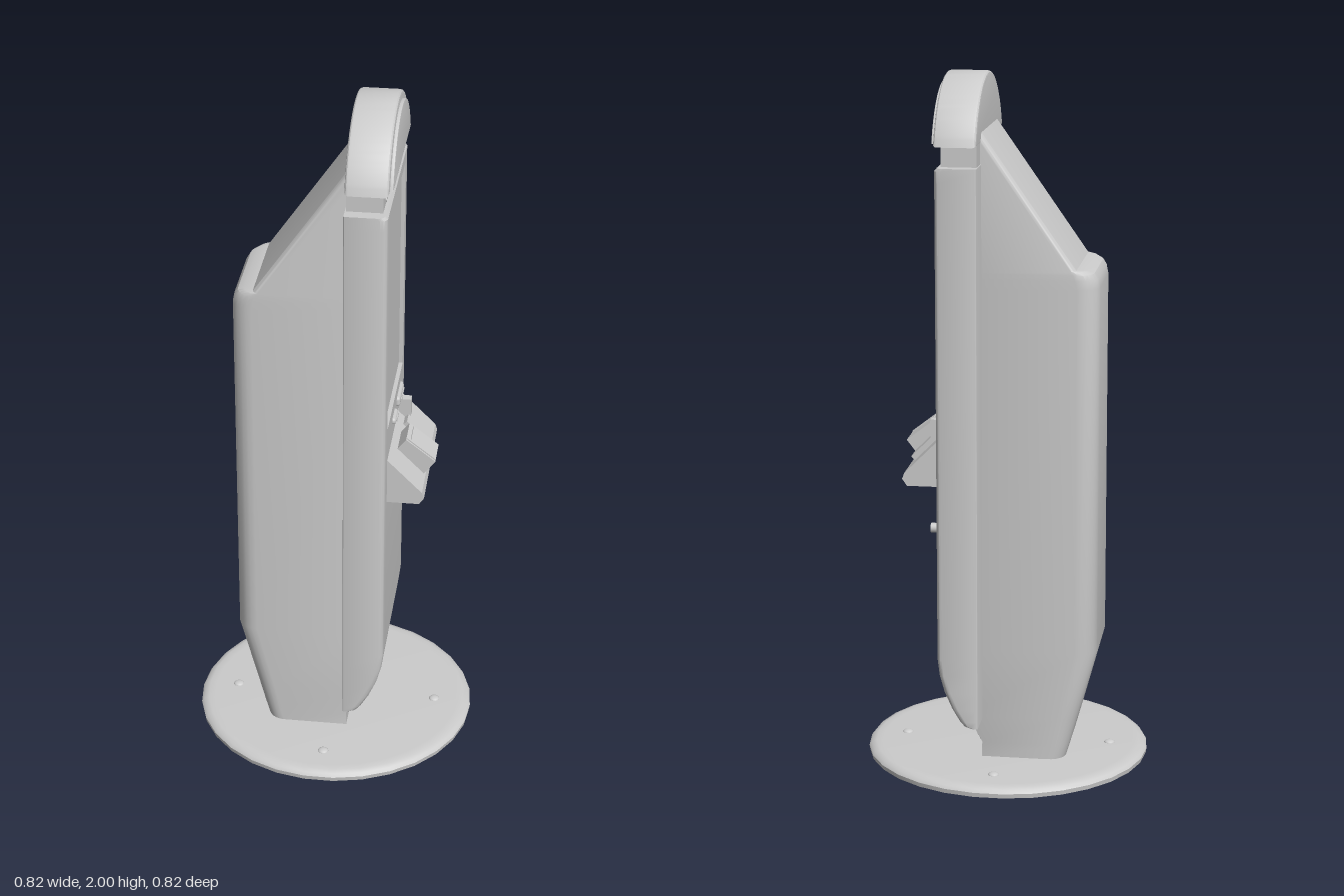
import * as THREE from 'three';
import { toCreasedNormals } from 'three/addons/utils/BufferGeometryUtils.js';
import { RoundedBoxGeometry } from 'three/addons/geometries/RoundedBoxGeometry.js';

const material = new THREE.MeshStandardMaterial({ color: 0xcccccc });

// Horizontal outline: back corners rounded by rb, front by rf, optional notch in the front face
function section({ xb, xf, w, rb, rf, notch }) {
  const pts = [];
  const corner = (cx, cz, r, start) => {
    for (let i = 0; i <= 6; i++) {
      const a = start + (i / 6) * Math.PI / 2;
      pts.push(new THREE.Vector2(cx + r * Math.cos(a), cz + r * Math.sin(a)));
    }
  };
  corner(xb + rb, -w + rb, rb, Math.PI);
  corner(xf - rf, -w + rf, rf, -Math.PI / 2);
  if (notch !== undefined) {
    for (const [x, z] of [[xf, -0.2], [xf - notch, -0.2], [xf - notch, 0.2], [xf, 0.2]]) {
      pts.push(new THREE.Vector2(x, z));
    }
  }
  corner(xf - rf, w - rf, rf, 0);
  corner(xb + rb, w - rb, rb, Math.PI / 2);
  return pts;
}

// Skin a stack of outlines from bottom to top and cap both ends
function loft(rows) {
  const loops = rows.map(section);
  const n = loops[0].length;
  const pos = [], idx = [];
  loops.forEach((loop, i) => loop.forEach(p => pos.push(p.x, rows[i].y, p.y)));
  for (let i = 0; i < rows.length - 1; i++) {
    for (let j = 0; j < n; j++) {
      const a = i * n + j, b = i * n + (j + 1) % n;
      idx.push(a, a + n, b, b, a + n, b + n);
    }
  }
  for (const [row, up] of [[0, false], [rows.length - 1, true]]) {
    const l = loops[row];
    for (const [a, b, c] of THREE.ShapeUtils.triangulateShape(l, [])) {
      const down = THREE.ShapeUtils.area([l[a], l[b], l[c]]) > 0;
      const t = down === up ? [a, c, b] : [a, b, c];
      idx.push(...t.map(k => k + row * n));
    }
  }
  const g = new THREE.BufferGeometry();
  g.setAttribute('position', new THREE.Float32BufferAttribute(pos, 3));
  g.setIndex(idx);
  return toCreasedNormals(g, 0.5);
}

// Flat-bottomed arch facing +x
function arch(halfWidth, y0, y1, x0, x1, bevel) {
  const hw = halfWidth - bevel, h = y1 - y0 - 2 * bevel;
  const r = (hw * hw + h * h) / (2 * h);
  const cy = y1 - bevel - r;
  const a = Math.atan2(y0 + bevel - cy, hw);
  const shape = new THREE.Shape();
  shape.absarc(0, cy, r, a, Math.PI - a, false);
  shape.closePath();
  const g = new THREE.ExtrudeGeometry(shape, {
    depth: x1 - x0 - 2 * bevel, curveSegments: 32, bevelEnabled: bevel > 0,
    bevelSize: bevel, bevelThickness: bevel, bevelSegments: 3,
  });
  g.translate(0, 0, x0 + bevel);
  g.rotateY(Math.PI / 2);
  return toCreasedNormals(g, 0.5);
}

export function createModel() {
  const model = new THREE.Group();
  const add = (name, geometry, x = 0, y = 0, z = 0, tilt = 0) => {
    const m = new THREE.Mesh(geometry, material);
    m.name = name;
    m.position.set(x, y, z);
    m.rotation.z = tilt;
    model.add(m);
    return m;
  };
  const box = (w, h, d) => new THREE.BoxGeometry(w, h, d);
  const knob = (r, len) => new THREE.CylinderGeometry(r, r, len, 16);

  // Round floor plate with softened rim
  const rim = [[0, 0], [0.41, 0], [0.412, 0.013], [0.405, 0.022], [0.39, 0.027], [0.37, 0.028], [0, 0.028]];
  const plate = new THREE.LatheGeometry(rim.map(p => new THREE.Vector2(...p)), 30);
  plate.rotateY(Math.PI / 2);
  add('basePlate', toCreasedNormals(plate, 0.6));

  // Four floor bolts
  for (let i = 0; i < 4; i++) {
    const a = i * Math.PI / 2;
    const head = new THREE.SphereGeometry(0.016, 16, 6, 0, Math.PI * 2, 0, Math.PI / 2);
    head.scale(1, 0.5, 1);
    add('baseBolt', head, 0.302 * Math.cos(a), 0.027, 0.302 * Math.sin(a));
  }

  // Rear cabinet: tapered foot, straight back, sloped top
  add('rearCabinet', loft([
    [0.02, -0.185, 0.052, 0.05], [0.07, -0.199, 0.052, 0.05], [0.15, -0.221, 0.095, 0.055],
    [0.35, -0.275, 0.095, 0.06], [1.415, -0.275, 0.095, 0.06], [1.44, -0.27, 0.095, 0.06],
    [1.456, -0.259, 0.095, 0.055], [1.465, -0.24, 0.095, 0.045], [1.468, -0.212, 0.095, 0.02],
    [1.85, 0.055, 0.095, 0.02],
  ].map(([y, xb, xf, rb]) => ({ y, xb, xf, w: 0.165, rb, rf: 0.001 }))));

  // Front panel: curved toe and a recess for the display
  add('frontPanel', loft([
    [0.145, 0.08, 0], [0.15, 0.094, 0], [0.165, 0.107, 0], [0.2, 0.128, 0], [0.25, 0.15, 0],
    [0.3, 0.164, 0], [0.35, 0.17, 0], [1.08, 0.17, 0], [1.08, 0.17, 0.014],
    [1.72, 0.17, 0.014], [1.72, 0.17, 0], [1.752, 0.17, 0], [1.76, 0.163, 0],
  ].map(([y, xf, notch]) => ({ y, xb: 0.052, xf, w: 0.26, rb: 0.004, rf: 0.02, notch }))));
  add('display', box(0.006, 0.625, 0.385), 0.157, 1.4, 0);

  // Neck with camera, indicator bars and speaker holes
  add('neck', box(0.1, 0.08, 0.45), 0.105, 1.79, 0);
  add('camera', knob(0.011, 0.014), 0.158, 1.777, 0, Math.PI / 2);
  for (const s of [-1, 1]) {
    add('indicatorBar', box(0.004, 0.005, 0.055), 0.156, 1.787, s * 0.065);
    for (let i = 0; i < 7; i++) {
      const a = i * Math.PI / 3, r = i < 6 ? 0.018 : 0;
      add('speakerHole', new THREE.CylinderGeometry(0.005, 0.005, 0.004, 8),
        0.156, 1.788 + r * Math.sin(a), s * 0.155 + r * Math.cos(a), Math.PI / 2);
    }
  }

  // Arched head and its raised face
  add('head', arch(0.252, 1.815, 2.0, 0.053, 0.172, 0.01));
  add('headFace', arch(0.222, 1.822, 1.977, 0.165, 0.181, 0.003));

  // Wedge shelf
  const wedge = new THREE.Shape([[0.16, 0.845], [0.262, 0.845], [0.276, 0.865], [0.27, 0.882], [0.172, 0.98], [0.16, 0.98]]
    .map(p => new THREE.Vector2(...p)));
  add('shelf', new THREE.ExtrudeGeometry(wedge, { depth: 0.394, bevelEnabled: false }), 0, 0, -0.197);

  // Tilted reader with raised rails
  const tilt = -0.66;
  add('reader', box(0.107, 0.066, 0.098), 0.235, 0.935, 0.048, tilt);
  add('readerRail', box(0.1, 0.004, 0.006), 0.256, 0.962, 0.088, tilt);
  add('readerRail', box(0.006, 0.004, 0.08), 0.227, 0.984, 0.045, tilt);

  // Keypad on the slope with the bracket above it
  add('keypad', box(0.09, 0.022, 0.066), 0.225, 0.933, -0.078, -Math.PI / 4);
  add('keypadBracket', box(0.035, 0.06, 0.026), 0.19, 0.99, -0.102);

  // Card and ticket slots
  for (const [z, width, height] of [[0.035, 0.07, 0.02], [-0.098, 0.108, 0.03]]) {
    add('slotBezel', new RoundedBoxGeometry(0.024, height, width, 3, 0.009), 0.168, 1.033, z);
    add('slotLip', box(0.006, 0.006, width * 0.65), 0.18, 1.033, z);
  }

  // Door lock
  add('lock', knob(0.014, 0.03), 0.176, 0.728, -0.208, Math.PI / 2);
  return model;
}
